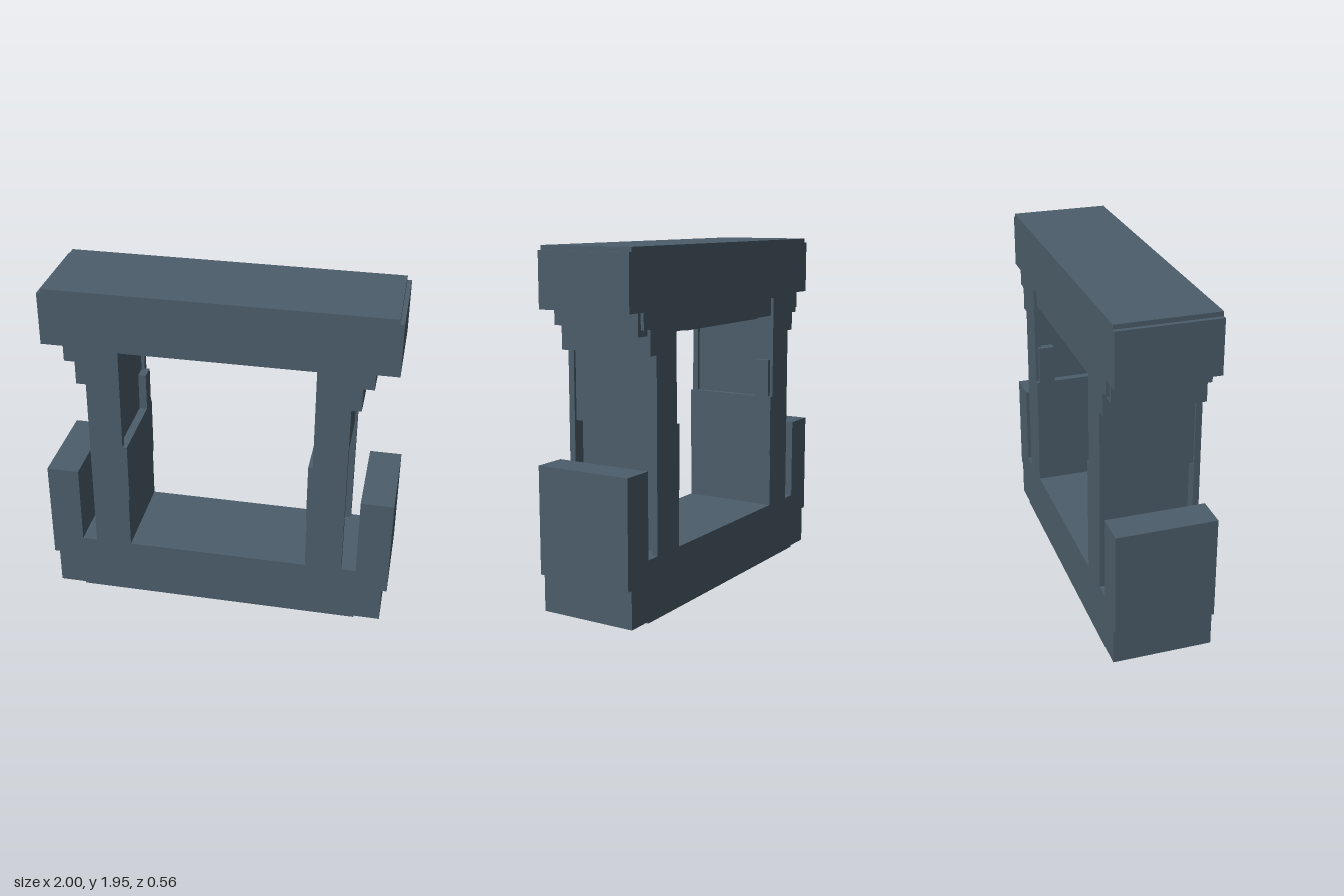
import * as THREE from 'three';

const slate = new THREE.MeshStandardMaterial({ color: 0x4c5d6a });
slate.name = 'slate metal';

// Closed outline from the +x half of a profile, mirrored in x
function mirrored(half, PathType) {
  const points = half.map(([x, y]) => new THREE.Vector2(x, y));
  const other = half.map(([x, y]) => new THREE.Vector2(-x, y)).reverse();
  return new PathType([...points, ...other]);
}

export function createModel() {
  const model = new THREE.Group();
  model.name = 'gateFrame';

  const add = (name, geometry) => {
    const mesh = new THREE.Mesh(geometry, slate);
    mesh.name = name;
    model.add(mesh);
  };
  const box = (name, x0, x1, y0, y1, z0, z1) => add(name,
    new THREE.BoxGeometry(x1 - x0, y1 - y0, z1 - z0)
      .translate((x0 + x1) / 2, (y0 + y1) / 2, (z0 + z1) / 2));
  const slab = (name, outline, opening, z0, z1) => {
    const shape = mirrored(outline, THREE.Shape);
    shape.holes.push(mirrored(opening, THREE.Path));
    add(name, new THREE.ExtrudeGeometry(shape, { depth: z1 - z0, bevelEnabled: false })
      .translate(0, 0, z0));
  };

  // Shared outer steps of the base, side guards and lintel
  const lower = [[0.82, 0], [0.82, 0.01], [0.97, 0.01], [0.97, 0.22], [1, 0.22],
    [1, 0.81], [0.815, 0.81], [0.815, 0.34]];
  const upper = [[0.785, 1.395], [0.785, 1.53], [0.845, 1.53], [0.845, 1.62],
    [0.97, 1.62], [0.97, 1.92], [0.945, 1.92], [0.945, 1.945]];

  // Front and back face plates with column flanges
  const faceOutline = [...lower, [0.73, 0.34], [0.73, 1.395], ...upper];
  const faceOpening = [[0.52, 0.34], [0.52, 0.65], [0.515, 0.65], [0.515, 1.01],
    [0.54, 1.01], [0.54, 1.605]];
  slab('frontPlate', faceOutline, faceOpening, 0.245, 0.28);
  slab('backPlate', faceOutline, faceOpening, -0.28, -0.245);

  // Core with panels recessed between the flanges
  const coreOutline = [...lower, [0.66, 0.34], [0.66, 1.01], [0.715, 1.01],
    [0.715, 1.395], ...upper];
  const coreOpening = [[0.52, 0.34], [0.52, 0.65], [0.515, 0.65], [0.515, 1.01],
    [0.56, 1.01], [0.56, 1.395], [0.545, 1.395], [0.545, 1.605]];
  slab('core', coreOutline, coreOpening, -0.245, 0.245);

  // Cross beam passing through the columns near the back
  box('crossBeam', -0.868, 0.868, 1.497, 1.618, -0.262, -0.162);
  box('beamUndersidePlate', -0.39, 0.39, 1.49, 1.497, -0.25, -0.175);

  // Thin plates under the lintel
  box('soffitPlate', -0.45, 0.45, 1.597, 1.605, -0.12, 0.2);
  box('soffitInnerPlate', -0.37, 0.37, 1.589, 1.597, -0.06, 0.14);

  // Raised guide rails on the inner column walls
  for (const s of [-1, 1]) {
    const a = s * 0.515, b = s * 0.6;
    box(s > 0 ? 'leftGuideRail' : 'rightGuideRail',
      Math.min(a, b), Math.max(a, b), 1.0, 1.232, -0.262, -0.17);
  }
  return model;
}
